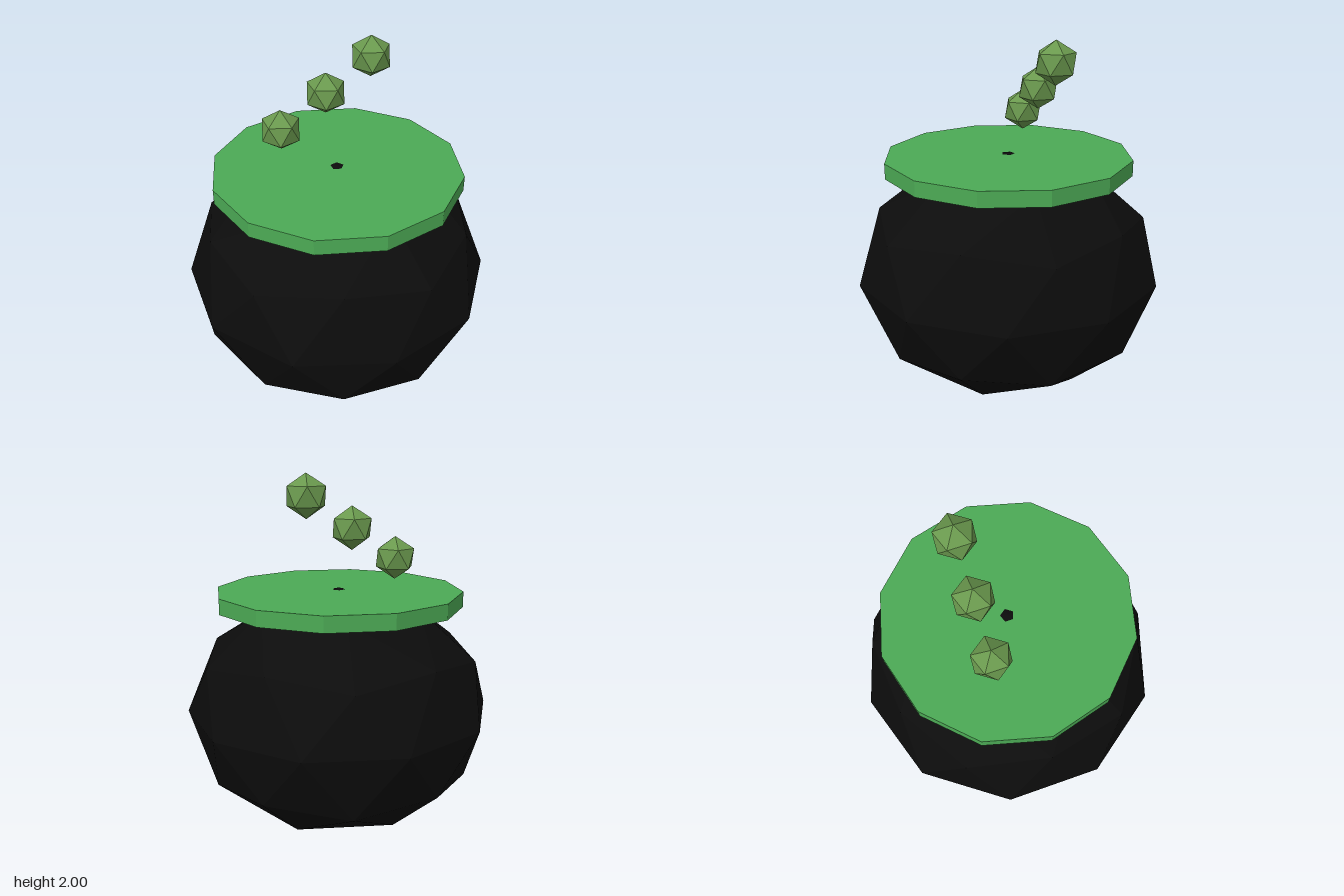
import * as THREE from 'three';

// Faceted icosphere with a vertex at the top and an upper-ring vertex towards +x
function facetedBall(detail, rx, ry) {
  const g = new THREE.IcosahedronGeometry(1, detail);
  g.rotateZ(-Math.atan(2 / (1 + Math.sqrt(5))));
  g.scale(rx, ry, rx);
  g.computeVertexNormals();
  return g;
}

export function createModel() {
  const group = new THREE.Group();
  const paint = (name, color) => {
    const m = new THREE.MeshStandardMaterial({ color, flatShading: true });
    m.name = name;
    return m;
  };
  const black = paint('cauldron black', 0x0c0c0c);
  const brew = paint('brew green', 0x4caa55);
  const moss = paint('bubble green', 0x6a994e);

  const add = (name, geometry, material, x, y, z) => {
    const mesh = new THREE.Mesh(geometry, material);
    mesh.name = name;
    mesh.position.set(x, y, z);
    group.add(mesh);
  };

  // Squat pot; its tip just breaks through the disc
  add('pot', facetedBall(1, 0.85, 0.685), black, 0, 0.686, 0);

  // Twelve-sided disc of brew
  add('brewDisc', new THREE.CylinderGeometry(0.68, 0.68, 0.085, 12), brew, 0, 1.32, 0);

  // Diagonal row of floating bubbles
  const bubble = facetedBall(0, 0.115, 0.115);
  for (let i = -1; i <= 1; i++) {
    add('bubble' + (i + 2), bubble, moss, i * 0.255, 1.715 + i * 0.17, -0.17);
  }
  return group;
}
